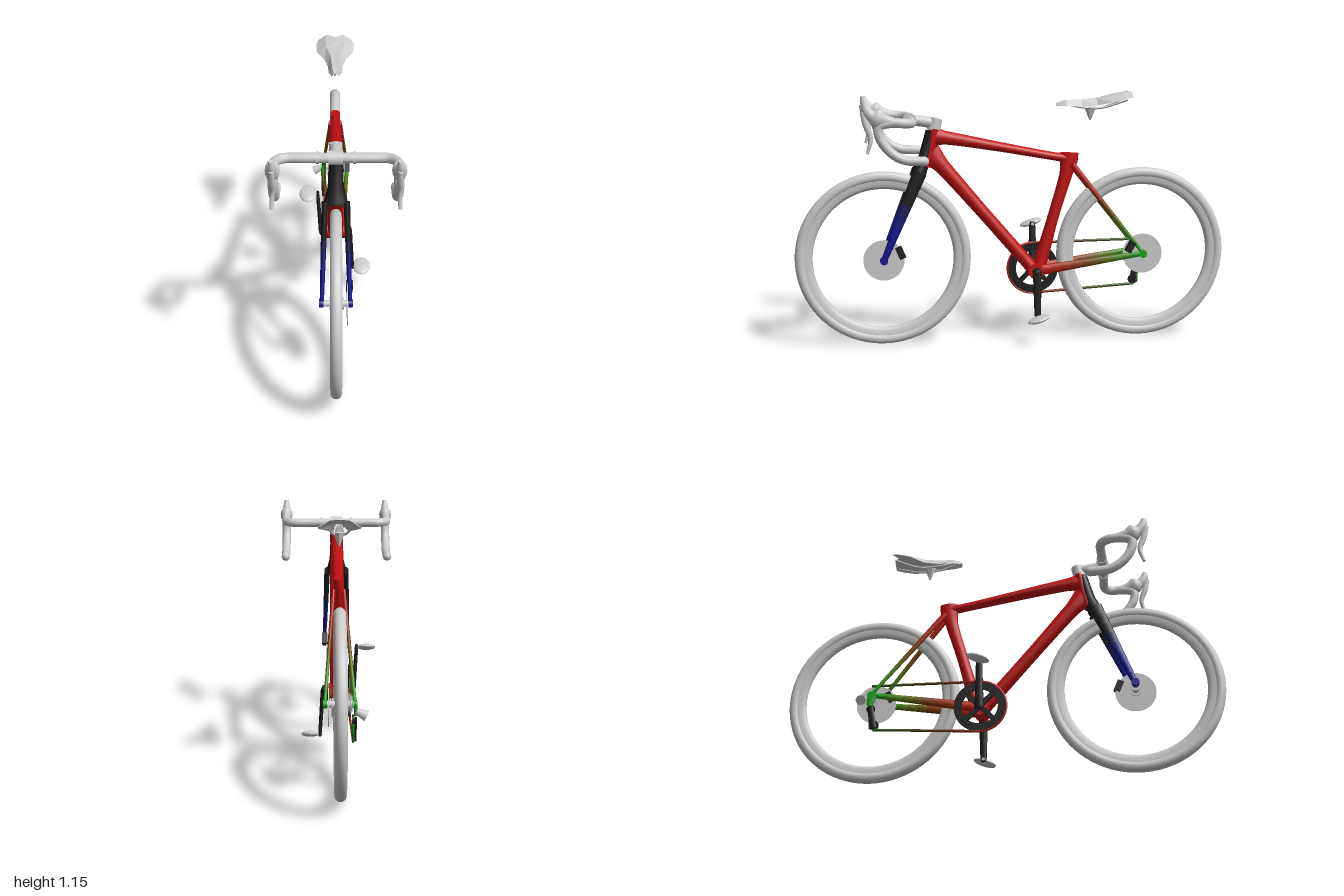
import * as THREE from 'three';

const GREY = 0xcccccc, RED = 0xc01010, BLACK = 0x1c1c1c, BLUE = 0x14148c, GREEN = 0x18a018;
const mat = (color, extra = {}) => new THREE.MeshStandardMaterial({ color, ...extra });

// Tube of elliptical sections; each row is [x, y, z, half width, half depth].
function loft(rows, { smooth = 0, sides = 14 } = {}) {
  if (smooth) {
    const path = new THREE.CatmullRomCurve3(rows.map(r => new THREE.Vector3(r[0], r[1], r[2])));
    const size = new THREE.CatmullRomCurve3(rows.map(r => new THREE.Vector3(r[3], r[4], 0)));
    rows = Array.from({ length: smooth + 1 }, (_, i) => {
      const p = path.getPoint(i / smooth), s = size.getPoint(i / smooth);
      return [p.x, p.y, p.z, s.x, s.y];
    });
  }
  const pos = [], idx = [], n = rows.length;
  const ring = i => {
    const [x, y, z, a, b] = rows[i], p = rows[Math.max(i - 1, 0)], q = rows[Math.min(i + 1, n - 1)];
    const ty = q[1] - p[1], tz = q[2] - p[2], l = Math.hypot(ty, tz) || 1;
    for (let j = 0; j < sides; j++) {
      const t = j / sides * Math.PI * 2, s = Math.sin(t) * b;
      pos.push(x + Math.cos(t) * a, y + s * tz / l, z - s * ty / l);
    }
  };
  for (let i = 0; i < n; i++) ring(i);
  for (let i = 0; i < n - 1; i++) for (let j = 0; j < sides; j++) {
    const a = i * sides + j, b = i * sides + (j + 1) % sides;
    idx.push(a, b, b + sides, a, b + sides, a + sides);
  }
  // flat end caps
  for (const [i, flip] of [[0, true], [n - 1, false]]) {
    const base = pos.length / 3;
    ring(i);
    for (let j = 1; j < sides - 1; j++)
      flip ? idx.push(base, base + j + 1, base + j) : idx.push(base, base + j, base + j + 1);
  }
  const g = new THREE.BufferGeometry();
  g.setAttribute('position', new THREE.Float32BufferAttribute(pos, 3));
  g.setIndex(idx);
  g.computeVertexNormals();
  return g;
}

export function createModel() {
  const bike = new THREE.Group();
  bike.name = 'roadBicycle';
  const add = (name, geo, color = GREY, x = 0, y = 0, z = 0, parent = bike, extra) => {
    const m = new THREE.Mesh(geo, mat(color, extra));
    m.name = name;
    m.position.set(x, y, z);
    parent.add(m);
    return m;
  };
  // cylinder lying along x
  const disc = (r, w, r2 = r, seg = 32) => new THREE.CylinderGeometry(r, r2, w, seg).rotateZ(Math.PI / 2);
  // straight tapered tube whose colour blends from one end to the other
  const blendTube = (name, a, b, colors, steps = 8) => {
    const mix = t => a.map((v, k) => v + (b[k] - v) * t);
    const group = new THREE.Group();
    group.name = name;
    for (let i = 0; i < steps; i++) {
      const u = i / (steps - 1) * (colors.length - 1), k = Math.min(Math.floor(u), colors.length - 2);
      const c = new THREE.Color(colors[k]).lerp(new THREE.Color(colors[k + 1]), u - k);
      add(name + 'Section', loft([mix(i / steps), mix((i + 1) / steps)]), c, 0, 0, 0, group);
    }
    bike.add(group);
  };

  // Wheels with rim, hub, brake disc and caliper
  for (const [name, z] of [['front', 0.6], ['rear', -0.6]]) {
    const wheel = new THREE.Group();
    wheel.name = name + 'Wheel';
    wheel.position.set(0, 0.4, z);
    bike.add(wheel);
    add('tyre', new THREE.TorusGeometry(0.375, 0.025, 14, 80).rotateY(Math.PI / 2), GREY, 0, 0, 0, wheel);
    const rim = [[0.36, 0.019], [0.338, 0.018], [0.325, 0.011], [0.32, 0], [0.325, -0.011], [0.338, -0.018], [0.36, -0.019]];
    add('rim', new THREE.LatheGeometry(rim.map(p => new THREE.Vector2(...p)), 80).rotateZ(Math.PI / 2), GREY, 0, 0, 0, wheel);
    add('hub', disc(0.014, 0.11), GREY, 0, 0, 0, wheel);
    for (const x of [-0.025, 0.03]) add('hubFlange', disc(0.026, 0.006), GREY, x, 0, 0, wheel);
    add('brakeDisc', disc(0.093, 0.003, 0.093, 48), GREY, 0.048, 0, 0, wheel);
    const caliper = add('brakeCaliper', new THREE.BoxGeometry(0.028, 0.055, 0.03), BLACK, 0.058, 0.035, z > 0 ? -0.075 : 0.06, wheel);
    caliper.rotation.x = z > 0 ? 0.4 : -0.5;
    for (const s of [-1, 1])
      add('axleEnd', disc(0.018, 0.018), z > 0 ? BLUE : GREEN, s * 0.062, 0, 0, wheel);
  }

  // Main frame
  add('headTube', loft([[0, 0.99, 0.362, 0.032, 0.024], [0, 0.9, 0.382, 0.03, 0.026], [0, 0.82, 0.405, 0.032, 0.025]]), RED);
  add('topTube', loft([[0, 0.955, 0.37, 0.029, 0.045], [0, 0.948, 0.31, 0.029, 0.031], [0, 0.903, 0.06, 0.028, 0.022],
    [0, 0.856, -0.19, 0.023, 0.019], [0, 0.845, -0.26, 0.022, 0.024]], { smooth: 20 }), RED);
  add('downTube', loft([[0, 0.88, 0.385, 0.027, 0.055], [0, 0.815, 0.325, 0.032, 0.036], [0, 0.6, 0.14, 0.034, 0.03],
    [0, 0.35, -0.075, 0.036, 0.03], [0, 0.315, -0.105, 0.036, 0.03]], { smooth: 20 }), RED);
  add('seatTube', loft([[0, 0.31, -0.11, 0.032, 0.034], [0, 0.6, -0.192, 0.022, 0.026], [0, 0.77, -0.243, 0.021, 0.03],
    [0, 0.835, -0.256, 0.023, 0.042], [0, 0.872, -0.258, 0.023, 0.044]], { smooth: 20 }), RED);
  add('bottomBracket', disc(0.036, 0.09), RED, 0, 0.325, -0.1);

  // Fork crown
  add('forkCrown', loft([[0, 0.98, 0.378, 0.029, 0.024], [0, 0.86, 0.408, 0.034, 0.028], [0, 0.8, 0.432, 0.05, 0.034],
    [0, 0.785, 0.438, 0.052, 0.03]]), BLACK);

  for (const s of [-1, 1]) {
    // Fork blades, chain stays and seat stays
    blendTube('forkBlade', [s * 0.046, 0.8, 0.432, 0.014, 0.033], [s * 0.06, 0.4, 0.6, 0.009, 0.014], [BLACK, BLACK, BLUE, BLUE]);
    blendTube('chainStay', [s * 0.034, 0.33, -0.12, 0.013, 0.024], [s * 0.062, 0.402, -0.595, 0.009, 0.012], [RED, 0x70400c, GREEN], 10);
    blendTube('seatStay', [s * 0.022, 0.82, -0.27, 0.009, 0.014], [s * 0.062, 0.41, -0.595, 0.007, 0.008], [RED, 0x70400c, GREEN], 10);

    // Crank arm and pedal: the right pedal is up, the left one down
    const up = -s, footY = 0.325 + up * 0.205;
    add('crankArm', loft([[s * 0.066, 0.325 - up * 0.015, -0.1, 0.01, 0.02], [s * 0.07, 0.325, -0.1, 0.01, 0.021],
      [s * 0.083, footY - up * 0.01, -0.1, 0.008, 0.015], [s * 0.083, footY + up * 0.01, -0.1, 0.007, 0.011]]), BLACK);
    add('pedalAxle', disc(0.007, 0.05), GREY, s * 0.098, footY, -0.1);
    const pedal = add('pedal', new THREE.SphereGeometry(1, 12, 8), GREY, s * 0.128, footY, -0.1, bike, { flatShading: true });
    pedal.scale.set(0.042, 0.014, 0.055);
    pedal.rotation.x = 0.3;

    // Brake hood and lever
    add('brakeHood', loft([[s * 0.25, 1.037, 0.54, 0.018, 0.018], [s * 0.25, 1.05, 0.6, 0.021, 0.026], [s * 0.25, 1.065, 0.645, 0.021, 0.026],
      [s * 0.25, 1.095, 0.67, 0.017, 0.021], [s * 0.25, 1.125, 0.677, 0.01, 0.012]], { smooth: 14 }));
    add('brakeLever', loft([[s * 0.25, 1.085, 0.685, 0.011, 0.012], [s * 0.25, 1.03, 0.672, 0.012, 0.014], [s * 0.252, 0.97, 0.652, 0.011, 0.011],
      [s * 0.255, 0.905, 0.668, 0.008, 0.006]], { smooth: 12 }));

    // Half of the drop handlebar
    const bar = new THREE.CatmullRomCurve3([[0, 1.032, 0.475], [0.12, 1.032, 0.475], [0.215, 1.032, 0.478], [0.245, 1.034, 0.508],
      [0.25, 1.036, 0.57], [0.25, 1.02, 0.617], [0.25, 0.97, 0.612], [0.25, 0.91, 0.568], [0.25, 0.877, 0.51], [0.25, 0.87, 0.425]]
      .map(([x, y, z]) => new THREE.Vector3(s * x, y, z)));
    add('handlebar', new THREE.TubeGeometry(bar, 60, 0.021, 12));
    add('barEnd', new THREE.SphereGeometry(0.021, 12, 8), GREY, s * 0.25, 0.87, 0.425);
    add('barCollar', disc(0.025, 0.012), GREY, s * 0.075, 1.032, 0.475);
  }

  // Stem with its bar clamp and steerer cap
  add('stem', loft([[0, 1.032, 0.475, 0.026, 0.024], [0, 1.014, 0.345, 0.024, 0.026]]));
  add('barClamp', disc(0.03, 0.058), GREY, 0, 1.032, 0.475);
  add('steererClamp', new THREE.CylinderGeometry(0.028, 0.03, 0.055, 20), GREY, 0, 1.01, 0.36).rotation.x = -0.25;

  // Chainring and spider
  const ringShape = new THREE.Shape().absarc(0, 0, 0.118, 0, Math.PI * 2);
  ringShape.holes.push(new THREE.Path().absarc(0, 0, 0.083, 0, Math.PI * 2, true));
  const ringGeo = new THREE.ExtrudeGeometry(ringShape, { depth: 0.01, bevelEnabled: false, curveSegments: 24 }).rotateY(-Math.PI / 2);
  add('chainring', ringGeo, BLACK, -0.047, 0.325, -0.1);
  for (let i = 0; i < 4; i++) {
    const arm = add('spiderArm', new THREE.BoxGeometry(0.01, 0.085, 0.022).translate(0, 0.05, 0), BLACK, -0.056, 0.325, -0.1);
    arm.rotation.x = Math.PI / 4 + i * Math.PI / 2;
  }
  add('crankAxle', disc(0.018, 0.14), BLACK, 0, 0.325, -0.1);

  // Chain
  add('chainFront', new THREE.TorusGeometry(0.121, 0.005, 6, 32, Math.PI).rotateZ(-Math.PI / 2).rotateY(-Math.PI / 2), RED, -0.053, 0.325, -0.1);
  const chainColors = [0x8c1c0c, 0x4c3c10, 0x286020];
  blendTube('upperChain', [-0.053, 0.446, -0.1, 0.005, 0.006], [-0.05, 0.452, -0.6, 0.005, 0.006], chainColors);
  blendTube('lowerChain', [-0.053, 0.205, -0.1, 0.005, 0.006], [-0.055, 0.234, -0.585, 0.005, 0.006], chainColors);
  blendTube('cageChain', [-0.055, 0.34, -0.605, 0.005, 0.006], [-0.055, 0.24, -0.6, 0.005, 0.006], [GREEN, 0x286020], 3);

  // Rear sprockets
  for (let i = 0; i < 6; i++) add('sprocket', disc(0.056 - i * 0.005, 0.002), GREY, -0.028 - i * 0.005, 0.4, -0.6);

  // Rear derailleur
  add('derailleurHanger', loft([[-0.064, 0.41, -0.59, 0.007, 0.024], [-0.066, 0.35, -0.605, 0.007, 0.014]]), GREEN);
  add('derailleurBody', new THREE.CylinderGeometry(0.014, 0.024, 0.045, 8).rotateZ(-1.1), GREY, -0.088, 0.37, -0.635);
  add('derailleurCage', loft([[-0.066, 0.34, -0.6, 0.005, 0.014], [-0.064, 0.24, -0.582, 0.005, 0.016]]), BLACK);
  add('upperPulley', disc(0.02, 0.008), BLACK, -0.055, 0.335, -0.6);
  add('lowerPulley', disc(0.022, 0.008), BLACK, -0.055, 0.255, -0.582);

  // Saddle shell: rows of [z, half width, top, edge drop], five points across
  const rows = [[-0.2, 0.015, 1.105, 0.018], [-0.24, 0.03, 1.118, 0.03], [-0.31, 0.034, 1.12, 0.034], [-0.38, 0.048, 1.125, 0.034],
    [-0.44, 0.086, 1.138, 0.032], [-0.5, 0.09, 1.15, 0.03], [-0.54, 0.078, 1.157, 0.03]];
  const pos = [], idx = [];
  rows.forEach(([z, w, y, d], i) => {
    for (let j = -2; j <= 2; j++)
      pos.push(j * w / 2, y - d * (Math.abs(j) === 2 ? 1 : 0.15 * Math.abs(j)) - (j ? 0 : 0.006), z + (j || i < 5 ? 0 : 0.025));
    if (i) for (let j = 0; j < 4; j++) {
      const a = i * 5 + j - 5;
      idx.push(a, a + 1, a + 6, a, a + 6, a + 5);
    }
  });
  const shell = new THREE.BufferGeometry();
  shell.setAttribute('position', new THREE.Float32BufferAttribute(pos, 3));
  shell.setIndex(idx);
  shell.computeVertexNormals();
  add('saddleShell', shell, GREY, 0, 0, 0, bike, { flatShading: true, side: THREE.DoubleSide });

  // Saddle rails and seat clamp
  for (const s of [-1, 1]) {
    const rail = new THREE.CatmullRomCurve3([[0.008, 1.1, -0.23], [0.02, 1.083, -0.3], [0.024, 1.078, -0.4], [0.045, 1.115, -0.52]]
      .map(([x, y, z]) => new THREE.Vector3(s * x, y, z)));
    add('saddleRail', new THREE.TubeGeometry(rail, 14, 0.005, 5), GREY, 0, 0, 0, bike, { flatShading: true });
  }
  add('saddleClamp', new THREE.CylinderGeometry(0.028, 0.004, 0.06, 6), GREY, 0, 1.052, -0.355, bike, { flatShading: true });

  return bike;
}
